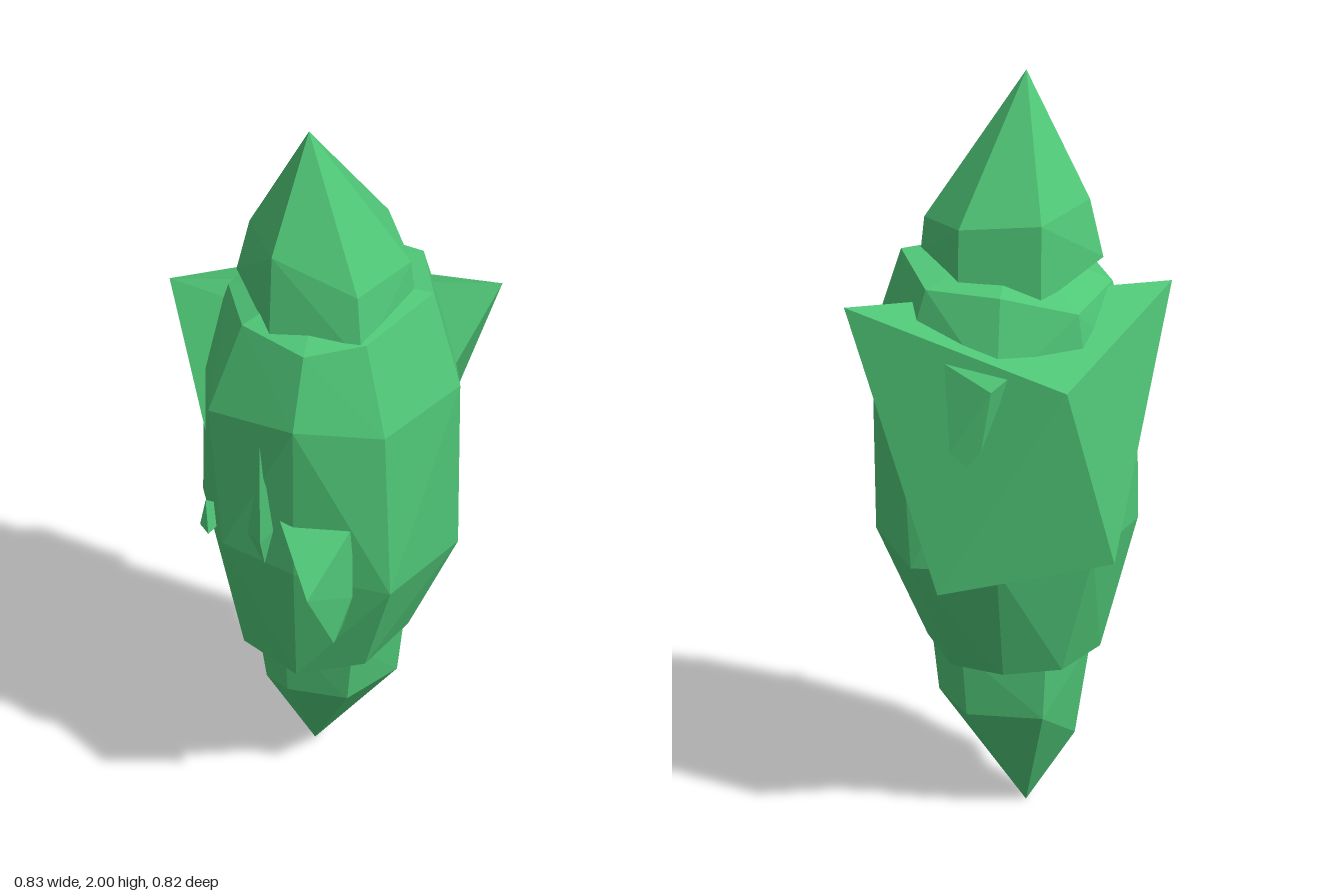
import * as THREE from 'three';
import { ConvexGeometry } from 'three/addons/geometries/ConvexGeometry.js';

const crystalGreen = new THREE.MeshStandardMaterial({ color: 0x50c878 });
crystalGreen.name = 'crystalGreen';

// A faceted shard: the convex hull of a few corner points [x, y, z].
function shard(name, corners) {
  const points = corners.map(([x, y, z]) => new THREE.Vector3(x, y, z));
  const mesh = new THREE.Mesh(new ConvexGeometry(points), crystalGreen);
  mesh.name = name;
  return mesh;
}

export function createModel() {
  const group = new THREE.Group();
  group.name = 'crystal';

  group.add(
    // Eight-sided main body: shoulder, upper waist, lower waist, foot
    shard('body', [
      [0.02, 1.44, 0.24], [0.17, 1.46, 0.17], [0.29, 1.51, -0.04], [0.2, 1.48, -0.25],
      [0, 1.48, -0.29], [-0.2, 1.43, -0.25], [-0.26, 1.44, -0.02], [-0.17, 1.45, 0.16],
      [0, 1.54, 0],
      [0.01, 1.24, 0.305], [0.235, 1.21, 0.222], [0.37, 1.25, -0.01], [0.27, 1.22, -0.26],
      [0, 1.24, -0.36], [-0.23, 1.22, -0.27], [-0.325, 1.2, -0.02], [-0.245, 1.2, 0.215],
      [0, 0.76, 0.265], [0.25, 0.72, 0.225], [0.355, 0.73, -0.04], [0.23, 0.73, -0.32],
      [0, 0.75, -0.36], [-0.24, 0.76, -0.26], [-0.325, 0.78, -0.01], [-0.2, 0.8, 0.235],
      [-0.01, 0.4, 0.205], [0.16, 0.43, 0.15], [0.22, 0.44, -0.04], [0.14, 0.42, -0.2],
      [0, 0.41, -0.23], [-0.15, 0.42, -0.2], [-0.23, 0.43, -0.04], [-0.17, 0.43, 0.14],
    ]),
    // Six-sided points above and below
    shard('topPoint', [
      [-0.03, 2, 0.02],
      [-0.1, 1.66, -0.225], [0.12, 1.63, -0.2], [0.23, 1.6, -0.035],
      [0.14, 1.59, 0.15], [-0.09, 1.68, 0.16], [-0.2, 1.66, -0.01],
      [-0.1, 1.45, -0.24], [0.12, 1.42, -0.22], [0.24, 1.5, -0.035],
      [0.16, 1.41, 0.18], [-0.09, 1.45, 0.18], [-0.235, 1.5, -0.01],
    ]),
    shard('bottomPoint', [
      [-0.04, 0.005, -0.07],
      [-0.06, 0.28, 0.115], [0.1, 0.28, 0.11], [0.19, 0.29, -0.04],
      [0.1, 0.28, -0.19], [-0.1, 0.28, -0.2], [-0.165, 0.19, -0.05],
      [-0.06, 0.46, 0.14], [0.12, 0.46, 0.13], [0.21, 0.46, -0.04],
      [0.11, 0.46, -0.21], [-0.11, 0.46, -0.21], [-0.205, 0.44, -0.05],
    ]),
    // Broad slab on the back with two raised corners
    shard('backSlab', [
      [0.413, 1.42, -0.25], [-0.19, 1.27, -0.41], [-0.413, 1.44, 0],
      [0.15, 0.69, -0.4], [-0.3, 0.76, -0.3],
      [0.16, 0.69, -0.35], [-0.27, 0.97, 0.1], [0.31, 1.2, -0.12],
    ]),
    shard('backChip', [
      [-0.03, 1.29, -0.375], [0.01, 1.26, -0.4], [0.14, 1.31, -0.335],
      [0.12, 1.08, -0.385], [0.05, 1.02, -0.37], [0.05, 1.1, -0.3],
    ]),
    // Jutting shard and sliver on the front
    shard('frontShard', [
      [-0.07, 0.975, 0.23], [0.155, 0.93, 0.25], [0.08, 0.79, 0.41],
      [0.155, 0.71, 0.25], [0.12, 0.59, 0.3], [0.07, 0.6, 0.22],
      [0.12, 0.59, 0.2], [0.08, 0.9, 0.15],
    ]),
    shard('frontSliver', [
      [-0.09, 1.16, 0.27], [-0.05, 0.9, 0.28], [-0.07, 0.8, 0.29],
      [-0.13, 0.86, 0.25], [-0.08, 0.87, 0.3], [-0.08, 0.9, 0.2],
    ]),
    // Small chip on the right flank
    shard('sideChip', [
      [-0.265, 0.88, 0.17], [-0.285, 0.8, 0.13], [-0.255, 0.78, 0.18],
      [-0.28, 0.8, 0.17], [-0.2, 0.82, 0.1],
    ]),
  );
  return group;
}
